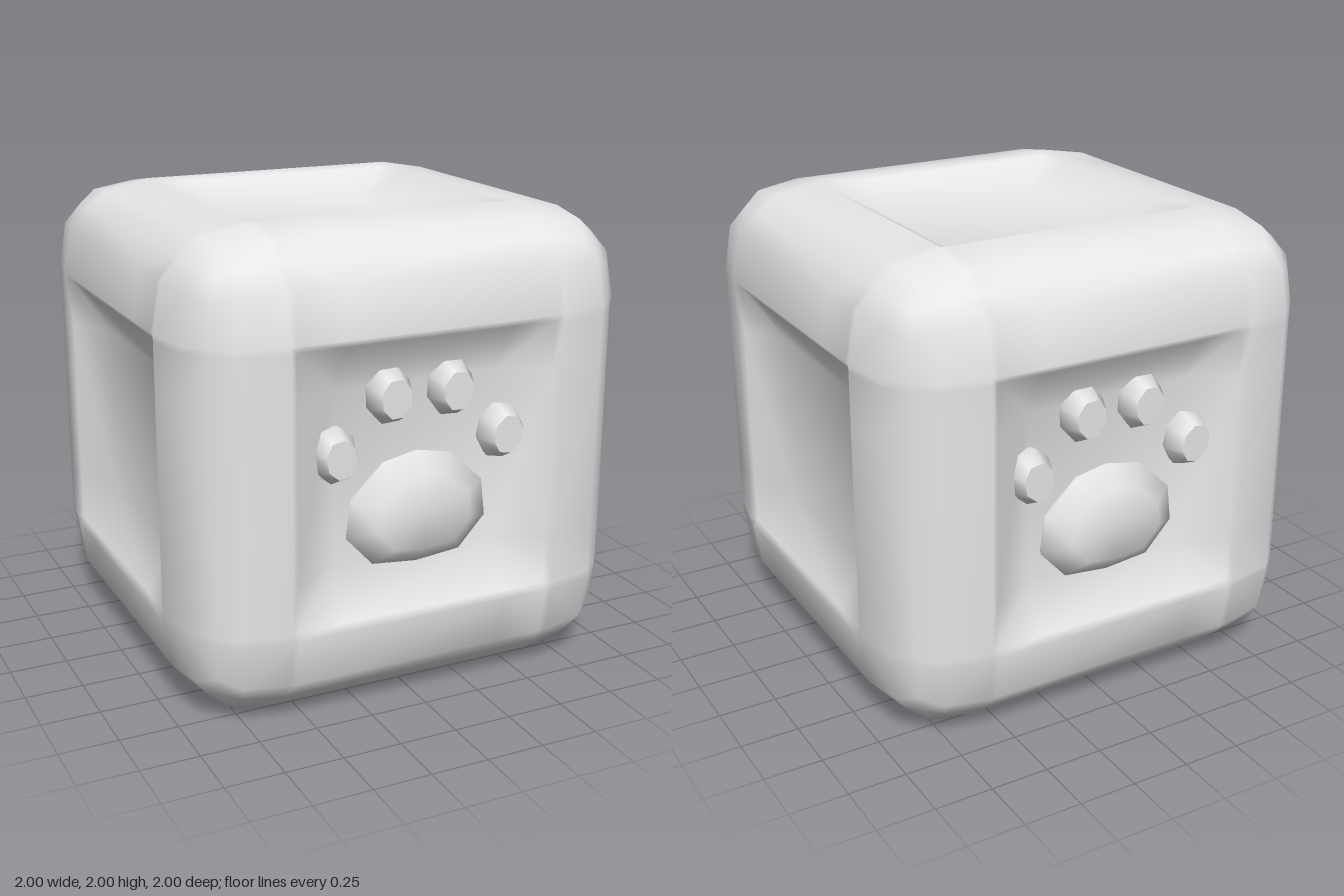
import * as THREE from 'three';
import { mergeVertices } from 'three/addons/utils/BufferGeometryUtils.js';

const grey = new THREE.MeshStandardMaterial({ color: 0xe6e5e7 });
grey.name = 'lightGrey';

// Grid lines across half a face: [position, lean round the edge]
const half = [[0.6, 1], [0.6, 0.57], [0.6, 0], [0.57, 0], [0.37, 0]];
const lines = [...half.map(([c, d]) => [-c, -d]), ...half.slice().reverse()];

// Point on a face: rounded rim outside 0.6, sloping recess inside
function facePoint([cu, du], [cv, dv]) {
  if (du || dv) {
    const p = 2.4, lean = Math.max(Math.abs(du), Math.abs(dv));
    const radius = lean === 1 ? 0.387 : 0.4; // flatten the seam into a chamfer
    const k = radius / (Math.abs(du) ** p + Math.abs(dv) ** p + 1) ** (1 / p);
    return [cu + du * k, cv + dv * k, 0.6 + k];
  }
  const m = Math.max(Math.abs(cu), Math.abs(cv));
  return [cu, cv, m > 0.59 ? 1 : m > 0.5 ? 0.98 : 0.865];
}

function cubeGeometry() {
  const positions = [], index = [], n = lines.length;
  for (let axis = 0; axis < 3; axis++) {
    for (const side of [1, -1]) {
      const start = positions.length / 3;
      for (const v of lines) {
        for (const u of lines) {
          const [a, b, h] = facePoint(u, v);
          const point = [0, 0, 0];
          point[axis] = h * side;
          point[(axis + 1) % 3] = a * side;
          point[(axis + 2) % 3] = b;
          positions.push(...point);
        }
      }
      for (let j = 0; j < n - 1; j++) {
        for (let i = 0; i < n - 1; i++) {
          const a = start + j * n + i, b = a + 1, c = b + n, d = a + n;
          // Diagonals run outwards to the corners
          const mid = (n - 2) / 2;
          if ((i - mid) * (j - mid) >= 0) index.push(a, b, c, a, c, d);
          else index.push(a, b, d, b, c, d);
        }
      }
    }
  }
  let geometry = new THREE.BufferGeometry();
  geometry.setAttribute('position', new THREE.Float32BufferAttribute(positions, 3));
  geometry.setIndex(index);
  geometry = mergeVertices(geometry, 1e-4);
  geometry.computeVertexNormals();
  return geometry;
}

// Barrel-shaped toe: eight sides, flat front
function toeGeometry() {
  const geometry = new THREE.CylinderGeometry(1, 1, 1, 8, 2);
  geometry.rotateY(Math.PI / 8).rotateX(Math.PI / 2);
  const pos = geometry.attributes.position;
  for (let i = 0; i < pos.count; i++) {
    const z = pos.getZ(i);
    const [scale, depth] = z > 0.1 ? [0.68, 0.97] : z < -0.1 ? [0.8, 0.8] : [1, 0.9];
    pos.setXYZ(i, pos.getX(i) * scale * 0.1, pos.getY(i) * scale * 0.122, depth);
  }
  geometry.computeVertexNormals();
  return geometry;
}

// Domed main pad lofted from one ten-sided outline
function padGeometry() {
  const right = [[0, -0.24], [0.2, -0.22], [0.32, -0.09], [0.3, 0.07], [0.15, 0.21], [0, 0.24]];
  const outline = [...right, ...right.slice(1, -1).reverse().map(([x, y]) => [-x, y])];
  const rings = [[0.85, 0.8], [1, 0.89], [0.66, 0.965]];
  const positions = [], index = [], n = outline.length;
  for (const [s, z] of rings) for (const [x, y] of outline) positions.push(x * s, y * s, z);
  positions.push(0, 0, 0.97);
  for (let i = 0; i < n; i++) {
    const k = (i + 1) % n;
    for (let r = 0; r < rings.length - 1; r++) {
      const o = r * n;
      index.push(o + i, o + k, o + n + k, o + i, o + n + k, o + n + i);
    }
    index.push(2 * n + i, 2 * n + k, 3 * n);
  }
  const geometry = new THREE.BufferGeometry();
  geometry.setAttribute('position', new THREE.Float32BufferAttribute(positions, 3));
  geometry.setIndex(index);
  geometry.computeVertexNormals();
  return geometry;
}

function addMesh(parent, name, geometry, x = 0, y = 0, tilt = 0) {
  const mesh = new THREE.Mesh(geometry, grey);
  mesh.name = name;
  mesh.position.set(x, y, 0);
  mesh.rotation.z = tilt;
  parent.add(mesh);
}

export function createModel() {
  const model = new THREE.Group();
  model.name = 'pawCube';
  addMesh(model, 'cubeBody', cubeGeometry(), 0, 1);

  const toe = toeGeometry(), pad = padGeometry();
  // A paw on the front and on the back
  for (const side of ['front', 'back']) {
    const paw = new THREE.Group();
    paw.name = side + 'Paw';
    addMesh(paw, 'mainPad', pad, 0, 0.84);
    for (const s of [1, -1]) {
      addMesh(paw, 'innerToe', toe, s * 0.138, 1.33, -s * 0.05);
      addMesh(paw, 'outerToe', toe, s * 0.376, 1.115, -s * 0.2);
    }
    if (side === 'back') paw.rotation.y = Math.PI;
    model.add(paw);
  }
  return model;
}
